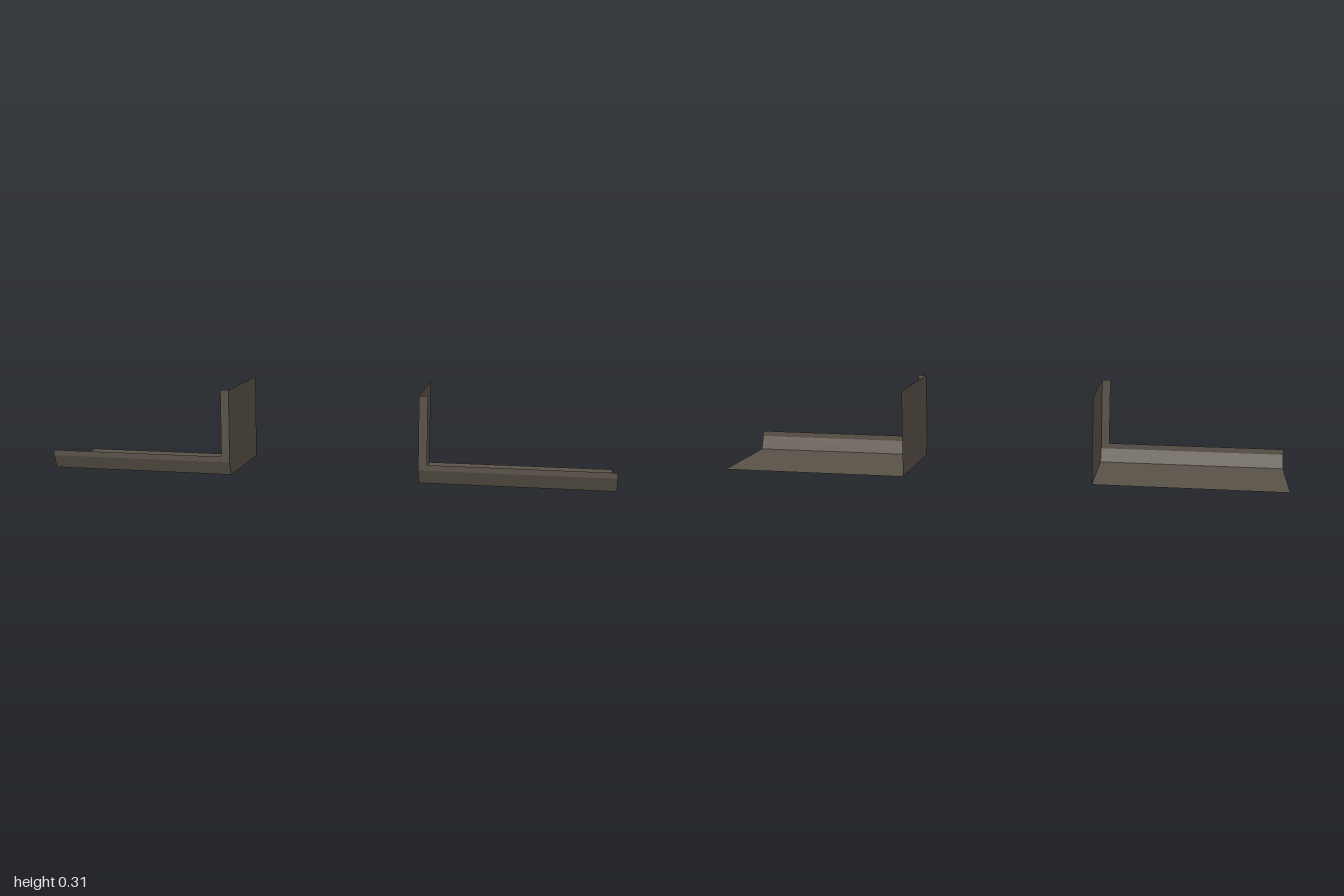
import * as THREE from 'three';

const INNER = 0.335, OUTER = 1, FLANGE = 0.365;
const BACK = -0.184, FRONT = 0.184, FOLD = 0.165, TOP = 0.307;

// Flat convex sheet from its corners, filled as a fan
function sheet(name, corners, material) {
  const pts = [];
  for (let i = 1; i < corners.length - 1; i++) {
    pts.push(corners[0], corners[i], corners[i + 1]);
  }
  const geometry = new THREE.BufferGeometry();
  geometry.setAttribute('position', new THREE.Float32BufferAttribute(pts.flat(), 3));
  geometry.computeVertexNormals();
  const mesh = new THREE.Mesh(geometry, material);
  mesh.name = name;
  return mesh;
}

export function createModel() {
  const metal = new THREE.MeshStandardMaterial({ color: 0x5a5248, side: THREE.DoubleSide });
  metal.name = 'dark bronze metal';
  const model = new THREE.Group();
  model.name = 'bracketPair';

  for (const side of [1, -1]) {
    const bracket = new THREE.Group();
    bracket.name = side > 0 ? 'leftBracket' : 'rightBracket';

    // Strip between two profile points [z, y], running along x
    const strip = (name, [z0, y0], [z1, y1], x0, x1) => {
      const corners = [[x0, y0, z0], [x1, y0, z0], [x1, y1, z1], [x0, y1, z1]]
        .map(([x, y, z]) => [side * x, y, z]);
      if (side < 0) corners.reverse();
      bracket.add(sheet(name, corners, metal));
    };

    // Floor with its folded front lip
    strip('floor', [FOLD, 0], [BACK, 0], INNER, OUTER);
    strip('lipSlope', [FOLD, 0], [FRONT, 0.048], INNER, OUTER);
    strip('lipRim', [FRONT, 0.048], [FRONT, 0.068], INNER, OUTER);

    // Narrow return on the front of the upright
    strip('uprightFlange', [FRONT, 0.068], [FRONT, TOP], INNER, FLANGE);

    // Upright plate with the lower front corner cut
    const profile = [[BACK, 0], [FOLD, 0], [FRONT, 0.048], [FRONT, TOP], [BACK, TOP]];
    const corners = profile.map(([z, y]) => [side * INNER, y, z]);
    if (side < 0) corners.reverse();
    bracket.add(sheet('uprightPlate', corners, metal));

    model.add(bracket);
  }
  return model;
}
